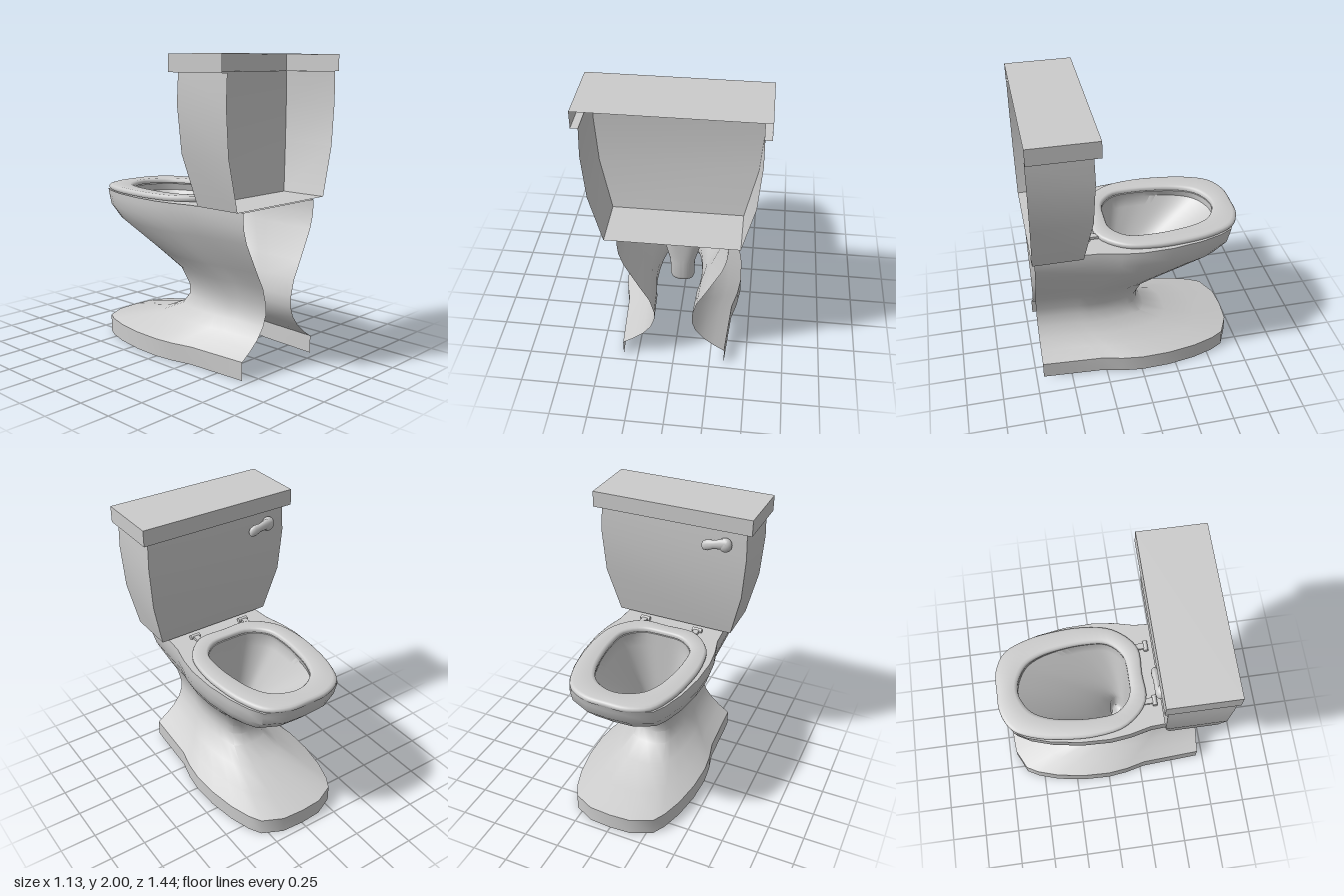
import * as THREE from 'three';
import { toCreasedNormals } from 'three/addons/utils/BufferGeometryUtils.js';

const material = new THREE.MeshStandardMaterial({ color: 0xcccccc, side: THREE.DoubleSide });

function add(parent, name, geometry, x = 0, y = 0, z = 0) {
  const mesh = new THREE.Mesh(geometry, material);
  mesh.name = name;
  mesh.position.set(x, y, z);
  parent.add(mesh);
  return mesh;
}

// Skin a stack of equal-length rings of [x, y, z] points
function loft(rings, closed, crease = 0.7) {
  const n = rings[0].length, index = [];
  for (let r = 0; r < rings.length - 1; r++) {
    for (let i = 0; i < (closed ? n : n - 1); i++) {
      const a = r * n + i, b = r * n + (i + 1) % n;
      index.push(a, a + n, b, b, a + n, b + n);
    }
  }
  const g = new THREE.BufferGeometry();
  g.setAttribute('position', new THREE.Float32BufferAttribute(rings.flat(2), 3));
  g.setIndex(index);
  return toCreasedNormals(g, crease);
}

// Mirror half an outline [x, z], running from back to front, into a whole one
const mirror = (half) => [...half, ...half.filter(p => p[0] > 0).reverse().map(([x, z]) => [-x, z])];

// Smooth closed outline, sampled evenly by control point so outlines correspond
function outline(half) {
  const curve = new THREE.CatmullRomCurve3(mirror(half).map(([x, z]) => new THREE.Vector3(x, 0, z)), true);
  return Array.from({ length: 64 }, (_, i) => curve.getPoint(i / 64)).map(p => [p.x, p.z]);
}

const seatOuter = outline([[0, 0.275], [0.2, 0.27], [0.35, 0.12], [0.395, -0.08], [0.39, -0.28],
  [0.355, -0.48], [0.28, -0.64], [0.15, -0.71], [0, -0.718]]);
const seatInner = outline([[0, 0.18], [0.15, 0.165], [0.25, 0.07], [0.27, -0.08], [0.258, -0.25],
  [0.225, -0.4], [0.17, -0.5], [0.08, -0.56], [0, -0.578]]);

// U-shaped ring, open at the back
const uRing = (y, w, z) => [[w, y, 0.72], [w, y, z], [-w, y, z], [-w, y, 0.72]];
const panel = (w, z) => new THREE.PlaneGeometry(2 * w, 0.72 - z).rotateX(-Math.PI / 2);

function buildPedestal(group) {
  // Plan: share of the half width against share of the length from the back
  const plan = [[0.82, 0], [0.88, 0.3], [0.96, 0.4], [1, 0.5], [0.985, 0.64], [0.91, 0.78],
    [0.8, 0.885], [0.69, 0.945], [0.36, 0.993], [0, 1]];
  // Height, half width, front edge
  const levels = [[0, 0.425, -0.705], [0.12, 0.425, -0.705], [0.17, 0.335, -0.49], [0.23, 0.25, -0.25],
    [0.3, 0.185, -0.09], [0.37, 0.155, -0.04], [0.44, 0.155, -0.04], [0.55, 0.19, -0.095],
    [0.66, 0.262, -0.26], [0.86, 0.385, -0.6], [0.95, 0.418, -0.685], [1.02, 0.425, -0.702], [1.058, 0.425, -0.712]];
  const whole = [...plan, ...plan.slice(0, -1).reverse().map(([u, t]) => [-u, t])];
  const rings = levels.map(([y, w, f]) => whole.map(([u, t]) => [u * w, y, 0.7 + t * (f - 0.7)]));
  add(group, 'pedestal', loft(rings, false));

  // Flat deck with the bowl opening
  const deck = new THREE.Shape(rings.at(-1).map(([x, , z]) => new THREE.Vector2(x, -z)));
  deck.holes.push(new THREE.Path(seatInner.map(([x, z]) => new THREE.Vector2(x, -z))));
  add(group, 'deck', new THREE.ShapeGeometry(deck).rotateX(-Math.PI / 2), 0, 1.057);
}

function buildBowl(group) {
  const rings = [seatInner.map(([x, z]) => [x, 1.057, z])];
  const drain = seatInner.map((_, i) => {
    const a = i / 64 * Math.PI * 2;
    return [0.088 * Math.sin(a), 0.12 + 0.055 * Math.cos(a)];
  });
  // Funnel narrowing towards the drain at the back
  for (let s = 0; s <= 10; s++) {
    const f = 1 - s / 10, fz = f ** 1.25;
    rings.push(seatInner.map(([x, z], i) => [
      drain[i][0] + (x * 1.06 - drain[i][0]) * f, 0.4 + 0.61 * f, drain[i][1] + (z - drain[i][1]) * fz]));
  }
  // Outlet with a rounded, closed end
  for (const [y, k] of [[0.27, 0.97], [0.245, 0.88], [0.235, 0.7], [0.235, 0]])
    rings.push(drain.map(([x, z]) => [x * k, y, 0.12 + (z - 0.12) * k]));
  add(group, 'bowl', loft(rings, true));
}

function buildSeat(group) {
  // Share of the way from the outer to the inner edge, and height
  const section = [[0.03, 1.06], [0, 1.068], [0, 1.08], [0.05, 1.09], [0.15, 1.095],
    [0.85, 1.095], [0.95, 1.09], [1, 1.08], [1, 1.064]];
  add(group, 'seat', loft(section.map(([k, y]) => seatOuter.map(([x, z], i) =>
    [x + (seatInner[i][0] - x) * k, y, z + (seatInner[i][1] - z) * k])), true, 1));

  for (const side of [-1, 1]) {
    const hinge = new THREE.Group();
    hinge.name = side > 0 ? 'leftHinge' : 'rightHinge';
    hinge.position.set(0.2 * side, 1.073, 0.3);
    add(hinge, 'hingeArm', new THREE.BoxGeometry(0.04, 0.018, 0.09), 0, 0, -0.015);
    add(hinge, 'hingePin', new THREE.CylinderGeometry(0.016, 0.016, 0.07, 12).rotateZ(Math.PI / 2), 0, 0, 0.03);
    group.add(hinge);
  }
}

function buildTank(group) {
  const levels = [[1.07, 0.425, 0.39], [1.4, 0.505, 0.332], [1.7, 0.527, 0.316], [1.89, 0.52, 0.32]];
  add(group, 'tankWalls', loft(levels.map(l => uRing(...l)), false));
  add(group, 'tankFloor', panel(0.425, 0.39), 0, 1.07, 0.555);

  // Lid with a lip under its overhang
  add(group, 'lidRim', loft([uRing(1.89, 0.52, 0.32), uRing(1.89, 0.565, 0.28), uRing(2, 0.565, 0.28)], false));
  add(group, 'lidTop', panel(0.565, 0.28), 0, 2, 0.5);
}

function buildHandle(group) {
  const handle = new THREE.Group();
  handle.name = 'flushHandle';
  add(handle, 'handleMount', new THREE.SphereGeometry(1, 20, 14), -0.385, 1.79, 0.293).scale.set(0.046, 0.05, 0.035);
  // Lever swelling towards its tip
  const lever = [[-0.4, 0.026, 1.8], [-0.36, 0.03, 1.797], [-0.31, 0.025, 1.785], [-0.27, 0.032, 1.775],
    [-0.24, 0.027, 1.77], [-0.23, 0.015, 1.77], [-0.228, 0, 1.77]];
  add(handle, 'lever', loft(lever.map(([x, r, y]) => Array.from({ length: 16 }, (_, i) => {
    const a = i / 16 * Math.PI * 2;
    return [x, y + 1.2 * r * Math.cos(a), 0.28 + 0.75 * r * Math.sin(a)];
  })), true, 1.2));
  group.add(handle);
}

export function createModel() {
  const group = new THREE.Group();
  group.name = 'toilet';
  for (const build of [buildPedestal, buildBowl, buildSeat, buildTank, buildHandle]) build(group);
  return group;
}
